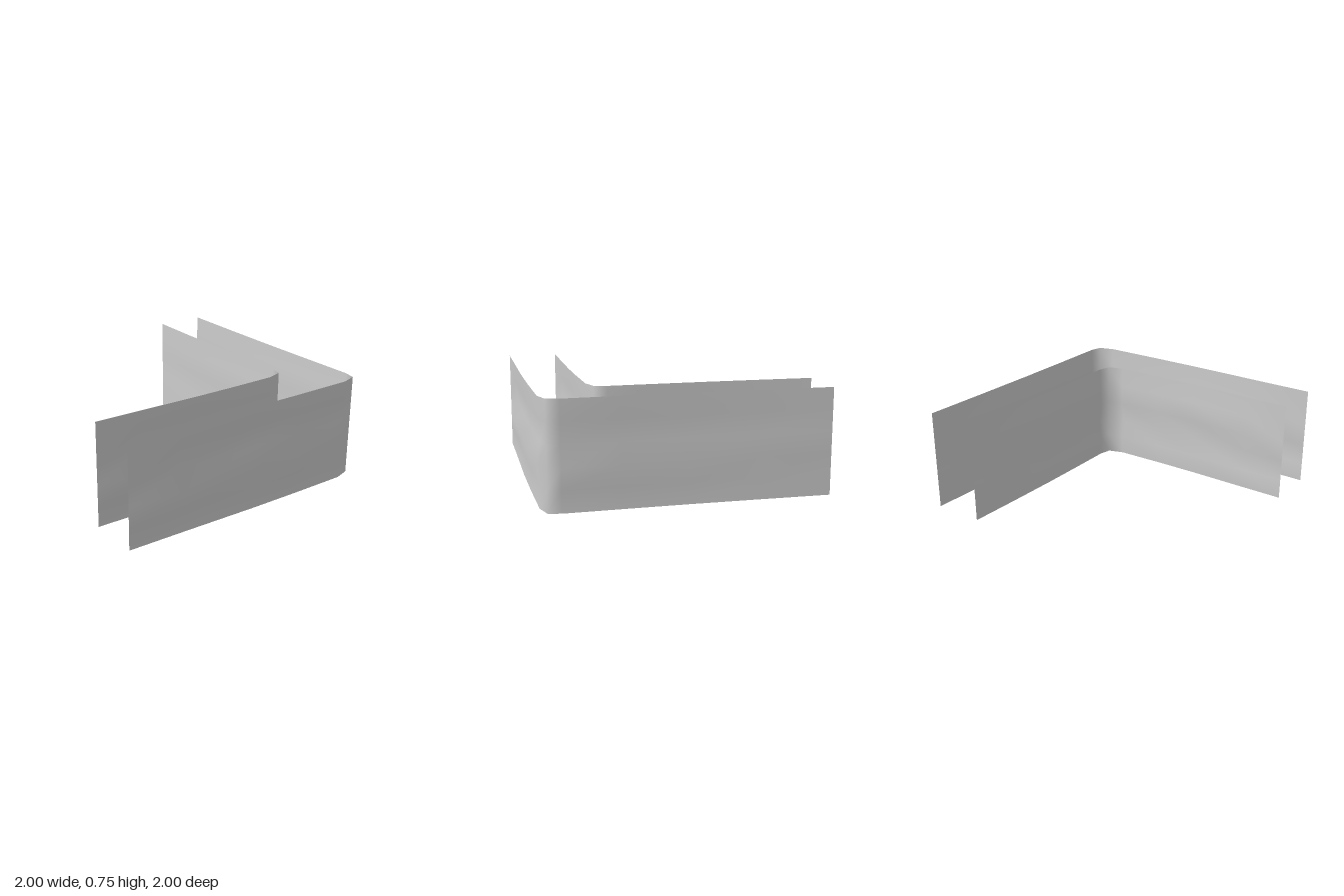
import * as THREE from 'three';

const HEIGHT = 0.75;
const GAP = 0.375;

// Plan of the outer wall: x, z, then how far the surface ripples along x and z
const PLAN = [
  [-1, -1, 0, 0],
  [-0.5, -0.987, 0, -0.005],
  [0, -0.978, 0, -0.008],
  [0.45, -0.976, 0, -0.008],
  [0.84, -0.976, 0, -0.01],
  [0.93, -0.955, 0, 0],
  [0.967, -0.84, 0.013, 0],
  [0.978, -0.4, 0.014, 0],
  [0.983, 0, 0.015, 0],
  [0.98, 0.6, 0.02, 0],
  [0.98, 1, 0, 0],
];

// Ripple strength at evenly spaced heights, bottom to top
const RIPPLE = [0, -0.5, 1, -1, -0.3, 0];

// Thin sheet: the plan repeated at each height, pushed in and out by the ripple
function sheet(name, plan, material) {
  const positions = [];
  const indices = [];
  const n = plan.length;
  RIPPLE.forEach((f, row) => {
    const y = (HEIGHT * row) / (RIPPLE.length - 1);
    for (const [x, z, dx, dz] of plan) positions.push(x + dx * f, y, z + dz * f);
  });
  for (let r = 0; r < RIPPLE.length - 1; r++) {
    for (let i = 0; i < n - 1; i++) {
      const a = r * n + i;
      const b = a + n;
      indices.push(a, b, a + 1, a + 1, b, b + 1);
    }
  }
  const geometry = new THREE.BufferGeometry();
  geometry.setAttribute('position', new THREE.Float32BufferAttribute(positions, 3));
  geometry.setIndex(indices);
  geometry.computeVertexNormals();
  const mesh = new THREE.Mesh(geometry, material);
  mesh.name = name;
  return mesh;
}

// Inner wall: same bend moved inward, arms shortened so the free ends line up
function innerPlan() {
  const k = 1 - GAP / 1.84;
  return PLAN.map(([x, z, dx, dz]) => [
    x <= 0.84 ? -1 + (x + 1) * k : x - GAP,
    z >= -0.84 ? 1 - (1 - z) * k : z + GAP,
    dx,
    dz,
  ]);
}

export function createModel() {
  const group = new THREE.Group();
  group.name = 'cornerWalls';
  const material = new THREE.MeshStandardMaterial({ color: 0xcccccc, side: THREE.DoubleSide });
  group.add(sheet('outerWall', PLAN, material));
  group.add(sheet('innerWall', innerPlan(), material));
  return group;
}
